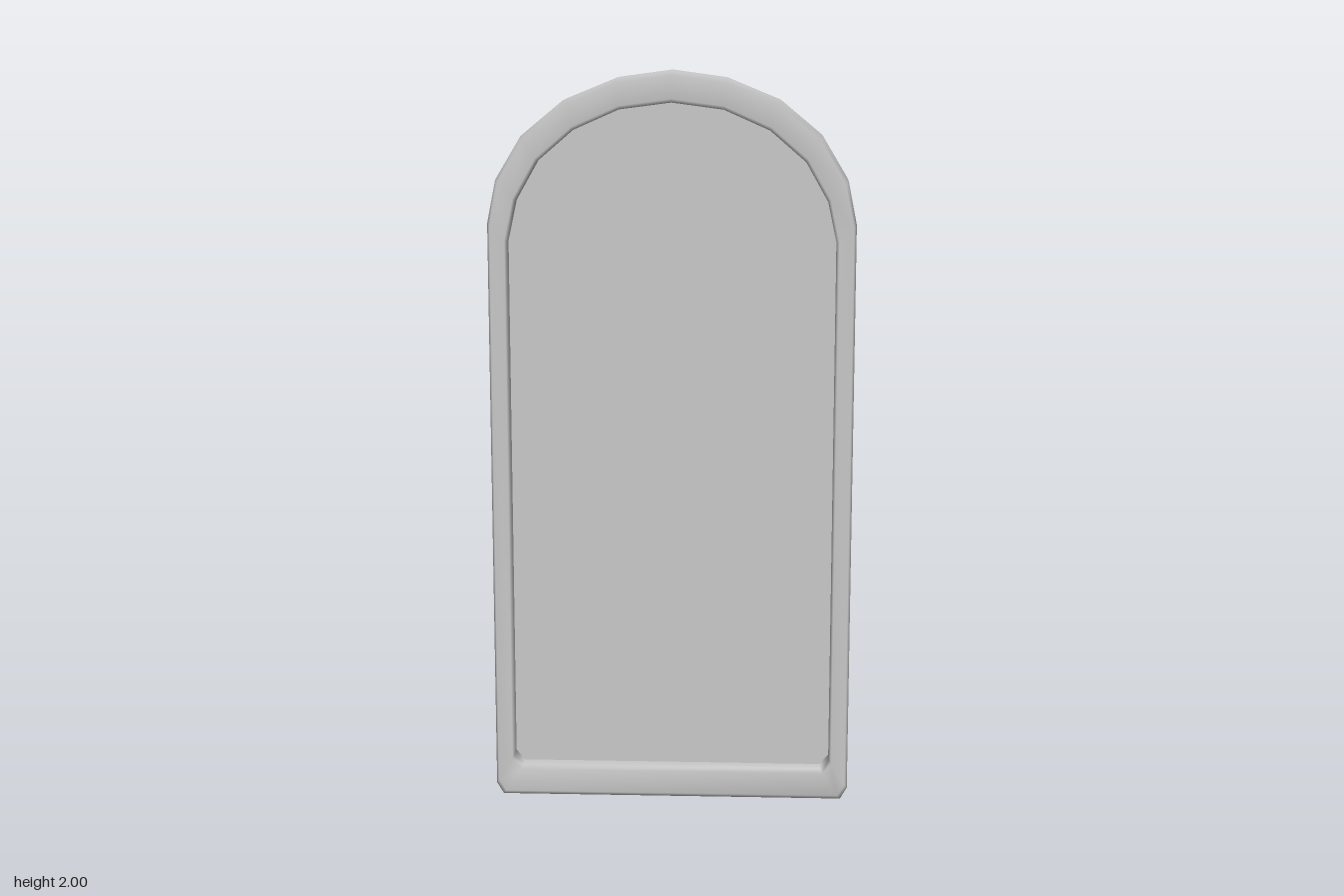
import * as THREE from 'three';

// Right half of the arched outline, bottom to top: [outerX, outerY, innerX, innerY]
const HALF = [
  [0.47, 0, 0.413, 0.087],
  [0.489, 0.032, 0.437, 0.116],
  [0.489, 1.6, 0.437, 1.55],
  [0.466, 1.715, 0.413, 1.66],
  [0.397, 1.83, 0.354, 1.764],
  [0.286, 1.922, 0.259, 1.846],
  [0.145, 1.98, 0.137, 1.9],
  [0, 2, 0, 1.918],
];
const LOOP = [...HALF, ...HALF.slice(0, -1).reverse().map(([a, b, c, d]) => [-a, b, -c, d])];

// Rim section: [blend from outer to inner outline, z]
const SECTION = [[0, -0.048], [0, 0.037], [0.14, 0.047], [0.88, 0.047], [1, 0.038], [1, 0]];

// Open-backed rim: the section swept round the arch
function rimGeometry() {
  const n = LOOP.length, pos = [], idx = [];
  for (const [t, z] of SECTION)
    for (const [ox, oy, ix, iy] of LOOP) pos.push(ox + (ix - ox) * t, oy + (iy - oy) * t, z);
  for (let i = 0; i < SECTION.length - 1; i++)
    for (let j = 0; j < n; j++) {
      const k = (j + 1) % n, a = i * n + j, b = i * n + k, c = b + n, d = a + n;
      idx.push(a, b, c, a, c, d);
    }
  const g = new THREE.BufferGeometry();
  g.setAttribute('position', new THREE.Float32BufferAttribute(pos, 3));
  g.setIndex(idx);
  g.computeVertexNormals();
  return g;
}

export function createModel() {
  const group = new THREE.Group();
  group.name = 'archedPanel';
  const grey = new THREE.MeshStandardMaterial({ name: 'grey', color: 0xc8c8c8, side: THREE.DoubleSide });

  const rim = new THREE.Mesh(rimGeometry(), grey);
  rim.name = 'rim';

  // Flat sheet recessed inside the rim
  const sheet = new THREE.Shape(LOOP.map(([, , x, y]) => new THREE.Vector2(x, y)));
  const panel = new THREE.Mesh(new THREE.ShapeGeometry(sheet), grey);
  panel.name = 'panel';

  group.add(rim, panel);
  return group;
}
